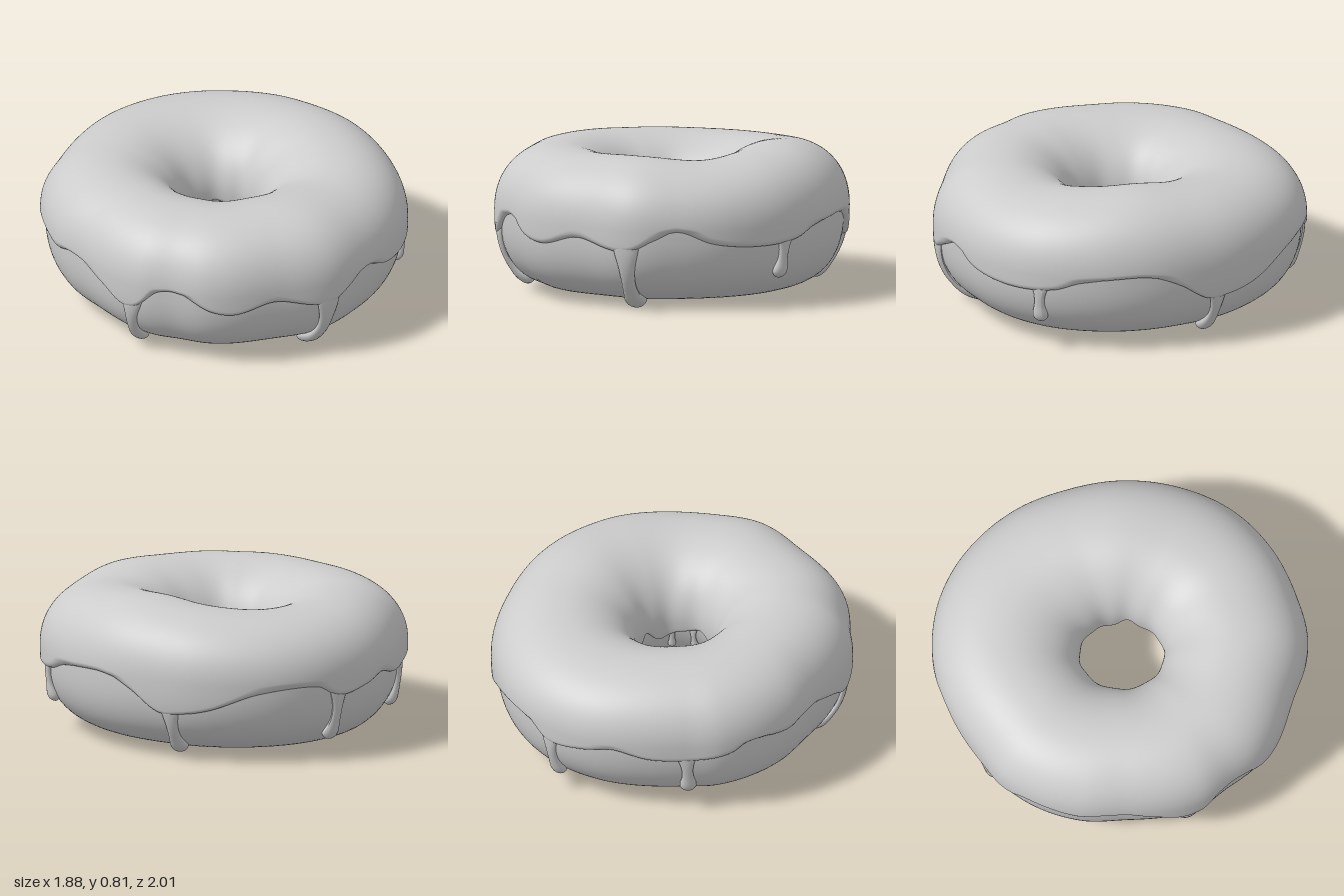
import * as THREE from 'three';

const RAD = Math.PI / 180;
const MID = 0.43, BOTTOM = 0.03, ICING = 0.028;

// Smooth periodic curve through [degrees, value] pairs (sorted, 0..360)
function ring(points) {
  const n = points.length;
  const at = k => {
    const turn = Math.floor(k / n), p = points[k - turn * n];
    return [p[0] + turn * 360, p[1]];
  };
  return angle => {
    const d = ((angle / RAD) % 360 + 360) % 360;
    let k = -1;
    while (at(k + 1)[0] <= d) k++;
    const [p0, p1, p2, p3] = [at(k - 1), at(k), at(k + 1), at(k + 2)];
    const h = p2[0] - p1[0], u = (d - p1[0]) / h;
    const m1 = (p2[1] - p0[1]) / (p2[0] - p0[0]) * h, m2 = (p3[1] - p1[1]) / (p3[0] - p1[0]) * h;
    const u2 = u * u, u3 = u2 * u;
    return (2 * u3 - 3 * u2 + 1) * p1[1] + (u3 - 2 * u2 + u) * m1 + (3 * u2 - 2 * u3) * p2[1] + (u3 - u2) * m2;
  };
}

// Plan outline, crest height and lower icing border; angles run from +x towards +z
const outline = ring([[0, 0.94], [18, 0.955], [38, 0.98], [55, 0.985], [72, 0.985], [88, 1], [106, 0.96], [124, 0.978],
  [131, 0.978], [142, 0.958], [153, 0.972], [178, 0.938], [194, 0.968], [219, 0.988], [231, 0.965], [244, 0.97],
  [264, 1.003], [281, 1.014], [295, 1.006], [310, 0.985], [325, 0.963], [342, 0.937]]);
const crest = ring([[0, 0.805], [30, 0.785], [60, 0.762], [90, 0.785], [120, 0.78], [180, 0.775], [240, 0.76],
  [270, 0.75], [300, 0.755], [330, 0.78]]);
const border = ring([[6, 0.44], [22, 0.41], [30, 0.365], [39, 0.345], [51, 0.345], [62, 0.37], [73, 0.435], [81, 0.385],
  [87, 0.335], [92, 0.325], [96, 0.335], [108, 0.38], [121, 0.33], [129, 0.35], [139, 0.43], [147, 0.42], [154, 0.32],
  [160, 0.3], [168, 0.36], [184, 0.43], [195, 0.4], [210, 0.43], [217, 0.38], [230, 0.35], [243, 0.355], [255, 0.4],
  [264, 0.37], [277, 0.345], [285, 0.41], [304, 0.39], [320, 0.3], [330, 0.27], [338, 0.27], [348, 0.37], [357, 0.43]]);
const innerBorder = a => 0.35 + 0.03 * Math.sin(5 * a + 0.5) + 0.015 * Math.sin(8 * a);
const holeRadius = a => 0.244 - 0.027 * Math.cos(a) + 0.004 * Math.sin(a) - 0.008 * Math.cos(2 * a) + 0.003 * Math.sin(9 * a);

// Point of the ring body: a around the ring, phi around the section (0 outside, 90 deg top), t lifts off the surface
function body(a, phi, t = 0) {
  const outer = outline(a) - ICING, inner = holeRadius(a);
  const c = Math.cos(phi), s = Math.sin(phi);
  const n = c < 0 ? 2 : s < 0 ? 2.5 : 2.2;
  const half = (outer - inner) / 2 + t;
  const height = (s > 0 ? crest(a) - ICING - MID : MID - BOTTOM) + t;
  const r = (outer + inner) / 2 + Math.sign(c) * half * Math.abs(c) ** (2 / n);
  const y = MID + Math.sign(s) * height * Math.abs(s) ** (2 / n);
  return new THREE.Vector3(r * Math.cos(a), y, r * Math.sin(a));
}

// Section angle at which the body reaches height y
function sectionAngle(a, y, inside) {
  const low = y < MID, n = inside ? 2 : low ? 2.5 : 2.2;
  const s = Math.min(1, Math.abs(y - MID) / (low ? MID - BOTTOM : crest(a) - ICING - MID));
  const phi = Math.asin(s ** (n / 2)) * (low ? -1 : 1);
  return inside ? Math.PI - phi : phi;
}

// Surface closed around the ring, optionally closed around the section too
function surface(point, around, rows, closed) {
  const pos = [], index = [], count = closed ? rows : rows + 1;
  for (let i = 0; i < around; i++)
    for (let j = 0; j < count; j++) pos.push(...point(i / around * Math.PI * 2, j).toArray());
  for (let i = 0; i < around; i++)
    for (let j = 0; j < rows; j++) {
      const a = i * count + j, b = i * count + (j + 1) % count;
      const c = (i + 1) % around * count + j, d = (i + 1) % around * count + (j + 1) % count;
      index.push(a, b, c, b, d, c);
    }
  const g = new THREE.BufferGeometry();
  g.setAttribute('position', new THREE.Float32BufferAttribute(pos, 3));
  g.setIndex(index);
  g.computeVertexNormals();
  return g;
}

// Icing shell with a rounded lip at both borders
function icingGeometry() {
  const lip = 7, rows = 84;
  return surface((a, j) => {
    const start = sectionAngle(a, border(a), false), end = sectionAngle(a, innerBorder(a), true);
    const k = Math.min(j, rows - j), turn = Math.min(k / lip, 1) * Math.PI / 2;
    const lipSize = 0.07 * (1 - Math.cos(turn));
    let phi, t = -0.006 + (ICING + 0.006) * Math.sin(turn);
    if (j <= lip) phi = start + lipSize;
    else if (j >= rows - lip) phi = end - lipSize;
    else phi = THREE.MathUtils.lerp(start + 0.07, end - 0.07, (j - lip) / (rows - 2 * lip));
    return body(a, phi, t);
  }, 300, rows, false);
}

// Running drop that follows the body: starts under the icing, lies flat, ends in a round bulb
function dripGeometry({ from, to, top, tip, width, inside }) {
  const along = (u, t) => {
    const a = THREE.MathUtils.lerp(from, to, u) * RAD;
    return body(a, sectionAngle(a, THREE.MathUtils.lerp(top, tip, u), inside), t);
  };
  const pts = [];
  for (let i = 0; i <= 8; i++) pts.push(along(i / 8, 0.002 + 0.01 * i / 8));
  const path = new THREE.CatmullRomCurve3(pts), segs = 40, sides = 16;
  const g = new THREE.TubeGeometry(path, segs, 1, sides, false);
  const p = g.attributes.position, v = new THREE.Vector3();
  const cap = Math.min(0.5, width * 1.25 / path.getLength());
  for (let i = 0; i <= segs; i++) {
    const u = i / segs, centre = path.getPointAt(u);
    const out = along(u, 0.02).sub(along(u, 0)).normalize();
    const bulb = Math.exp(-(((u - 1 + cap) / 0.2) ** 2));
    const end = u > 1 - cap ? Math.sqrt(Math.max(0, 1 - ((u - 1 + cap) / cap) ** 2)) : 1;
    const wide = width * end * (0.8 + 0.45 * bulb + 0.8 * Math.exp(-((u / 0.25) ** 2)));
    const thick = width * end * (0.5 + 0.45 * bulb);
    for (let j = 0; j <= sides; j++) {
      const k = i * (sides + 1) + j;
      v.fromBufferAttribute(p, k).sub(centre);
      const lift = v.dot(out);
      v.addScaledVector(out, -lift).multiplyScalar(wide).addScaledVector(out, lift * thick).add(centre);
      p.setXYZ(k, v.x, v.y, v.z);
    }
  }
  g.computeVertexNormals();
  return g;
}

export function createModel() {
  const model = new THREE.Group();
  model.name = 'icedRing';
  const grey = new THREE.MeshStandardMaterial({ color: 0xcccccc });
  grey.name = 'plainGrey';
  const add = (name, geometry, parent = model) => {
    const mesh = new THREE.Mesh(geometry, grey);
    mesh.name = name;
    parent.add(mesh);
  };

  add('dough', surface((a, j) => body(a, j / 72 * Math.PI * 2), 180, 72, true));
  add('icing', icingGeometry());

  // Drips on the outside and in the hole
  const drips = new THREE.Group();
  drips.name = 'drips';
  model.add(drips);
  [
    { from: 89.5, to: 89.5, top: 0.38, tip: 0.035, width: 0.046 },
    { from: 35.5, to: 36.5, top: 0.4, tip: 0.165, width: 0.034 },
    { from: 334, to: 333, top: 0.33, tip: 0.052, width: 0.038 },
    { from: 277, to: 277, top: 0.4, tip: 0.105, width: 0.036 },
    { from: 231, to: 230, top: 0.4, tip: 0.13, width: 0.036 },
    { from: 156, to: 159, top: 0.36, tip: 0.05, width: 0.038 },
  ].forEach(d => add('outerDrip', dripGeometry(d), drips));
  [
    { from: 56, to: 56, tip: 0.24, width: 0.018 },
    { from: 82, to: 82, tip: 0.24, width: 0.018 },
    { from: 128, to: 126, tip: 0.2, width: 0.02 },
    { from: 178, to: 186, tip: 0.12, width: 0.026 },
  ].forEach(d => add('holeDrip', dripGeometry({ top: 0.39, inside: true, ...d }), drips));
  return model;
}
